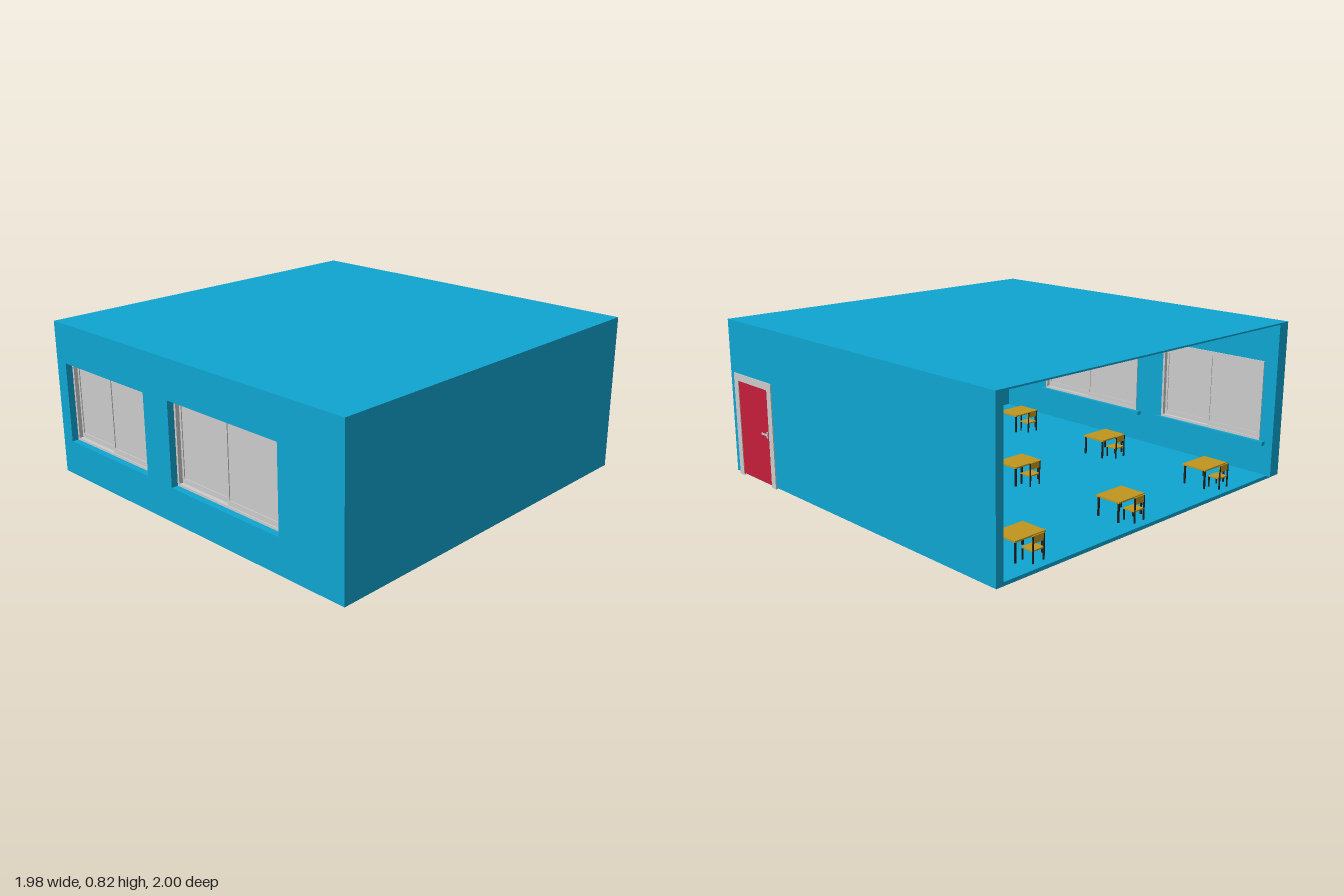
import * as THREE from 'three';

const mat = (color) => new THREE.MeshStandardMaterial({ color, flatShading: true });
const blue = mat(0x0ea5d0), grey = mat(0xcccccc), red = mat(0xc41e3a);
const wood = mat(0xc0961e), black = mat(0x222222);

// Box given by its limits on each axis
function box(parent, name, material, [x0, x1], [y0, y1], [z0, z1]) {
  const mesh = new THREE.Mesh(new THREE.BoxGeometry(x1 - x0, y1 - y0, z1 - z0), material);
  mesh.position.set((x0 + x1) / 2, (y0 + y1) / 2, (z0 + z1) / 2);
  mesh.name = name;
  parent.add(mesh);
  return mesh;
}

function rectangle(Type, x0, x1, y0, y1) {
  return new Type([[x0, y0], [x1, y0], [x1, y1], [x0, y1]].map(([x, y]) => new THREE.Vector2(x, y)));
}

// Upright panel with rectangular openings, from z0 to z1
function panel(parent, name, material, [x0, x1, y0, y1], holes, [z0, z1]) {
  const shape = rectangle(THREE.Shape, x0, x1, y0, y1);
  holes.forEach((h) => shape.holes.push(rectangle(THREE.Path, ...h)));
  const geometry = new THREE.ExtrudeGeometry(shape, { depth: z1 - z0, bevelEnabled: false });
  const mesh = new THREE.Mesh(geometry, material);
  mesh.position.z = z0;
  mesh.name = name;
  parent.add(mesh);
}

// Sliding window: fixed frame, two offset sashes with panes, inner sill
function slidingWindow([x0, x1, y0, y1]) {
  const g = new THREE.Group();
  g.name = 'slidingWindow';
  const t = 0.012, mid = (x0 + x1) / 2;
  panel(g, 'windowFrame', grey, [x0, x1, y0, y1], [[x0 + t, x1 - t, y0 + t, y1 - t]], [0.925, 0.965]);
  [[x0 + t, mid + t, 0.93], [mid - t, x1 - t, 0.945]].forEach(([a, b, z]) => {
    const bottom = y0 + t, top = y1 - t;
    panel(g, 'sash', grey, [a, b, bottom, top], [[a + t, b - t, bottom + 0.025, top - t]], [z, z + 0.014]);
    box(g, 'pane', grey, [a + t, b - t], [bottom + 0.025, top - t], [z + 0.004, z + 0.009]);
  });
  box(g, 'sashHandle', black, [x1 - 0.02, x1 - 0.014], [0.36, 0.41], [0.959, 0.967]);
  box(g, 'innerSill', blue, [x0 - 0.03, x1 + 0.03], [y0 - 0.02, y0], [0.905, 0.94]);
  return g;
}

// Table with a chair pushed in on its -x side
function deskAndChair() {
  const g = new THREE.Group();
  g.name = 'deskAndChair';
  box(g, 'tableTop', wood, [-0.07, 0.07], [0.095, 0.103], [-0.09, 0.09]);
  for (const x of [-0.06, 0.06]) for (const z of [-0.08, 0.08])
    box(g, 'tableLeg', black, [x - 0.004, x + 0.004], [0, 0.095], [z - 0.004, z + 0.004]);
  box(g, 'seat', wood, [-0.115, -0.05], [0.052, 0.058], [-0.035, 0.035]);
  for (const z of [-0.032, 0.032]) {
    box(g, 'chairBackLeg', black, [-0.118, -0.112], [0, 0.12], [z - 0.003, z + 0.003]);
    box(g, 'chairFrontLeg', black, [-0.056, -0.05], [0, 0.052], [z - 0.003, z + 0.003]);
  }
  box(g, 'backrest', wood, [-0.117, -0.111], [0.088, 0.122], [-0.035, 0.035]);
  return g;
}

function door() {
  const g = new THREE.Group();
  g.name = 'door';
  const [x0, x1, y0, y1] = [0.61, 0.955, 0.01, 0.55], t = 0.037;
  // Open-bottomed casing on both faces of the wall
  for (const z of [[-0.996, -0.985], [-0.955, -0.944]]) {
    for (const x of [x0, x1 - t]) box(g, 'doorJamb', grey, [x, x + t], [y0, y1], z);
    box(g, 'doorHead', grey, [x0 + t, x1 - t], [y1 - t, y1], z);
  }
  box(g, 'doorLeaf', red, [x0 + t, x1 - t], [y0 + 0.01, y1 - t], [-0.992, -0.948]);
  for (const z of [[-1, -0.996], [-0.944, -0.94]]) {
    box(g, 'doorHandle', grey, [0.657, 0.71], [0.276, 0.285], z);
  }
  for (const z of [[-0.997, -0.99], [-0.95, -0.943]]) {
    box(g, 'handlePlate', grey, [0.657, 0.668], [0.265, 0.296], z);
  }
  return g;
}

export function createModel() {
  const room = new THREE.Group();
  room.name = 'classroom';

  // Shell, open on the -x side
  const windows = [[-0.915, -0.28, 0.2, 0.615], [-0.1, 0.615, 0.195, 0.62]];
  box(room, 'floor', blue, [-0.97, 0.97], [0.004, 0.022], [-0.97, 0.97]);
  box(room, 'roof', blue, [-0.99, 0.99], [0.812, 0.82], [-0.99, 1]);
  box(room, 'sideWall', blue, [0.95, 0.99], [0.018, 0.812], [-0.99, 1]);
  box(room, 'backWall', blue, [-0.99, 0.95], [0.018, 0.812], [-0.99, -0.95]);
  panel(room, 'frontWall', blue, [-0.99, 0.95, 0.018, 0.812], windows, [0.93, 1]);
  windows.forEach((w) => room.add(slidingWindow(w)));
  room.add(door());

  // Three by three desks
  for (const x of [-0.81, -0.14, 0.53]) for (const z of [-0.69, -0.04, 0.61]) {
    const desk = deskAndChair();
    desk.position.set(x, 0.022, z);
    room.add(desk);
  }
  room.children.forEach((c) => { c.position.y -= 0.004; });
  return room;
}
